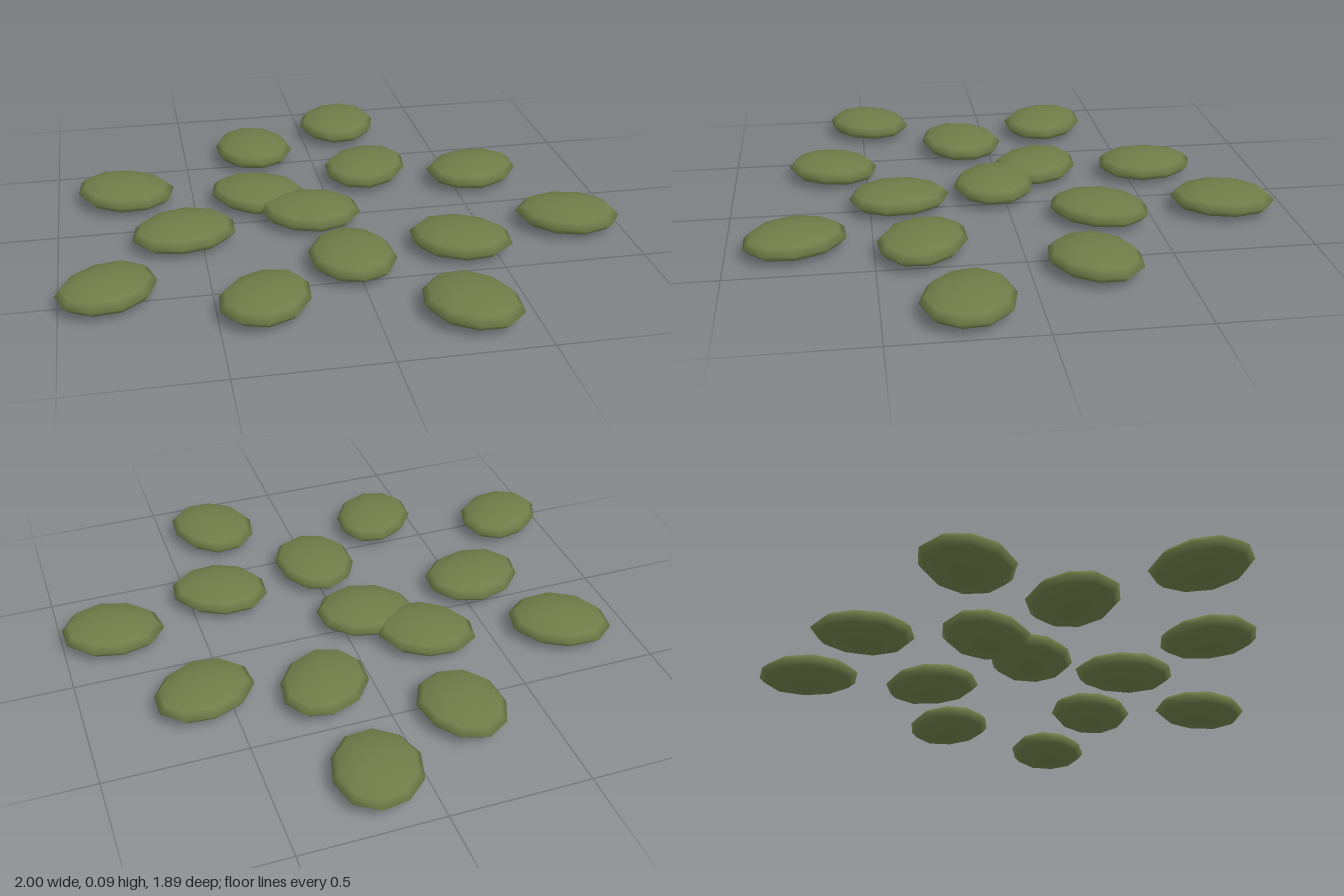
import * as THREE from 'three';
import { mergeVertices } from 'three/addons/utils/BufferGeometryUtils.js';

// x, z, long half-axis, direction of the long axis in degrees
const PEBBLES = [
  [0.155, -0.77, 0.188, 75],
  [-0.227, -0.57, 0.183, 97],
  [-0.75, -0.256, 0.187, -31],
  [-0.262, -0.147, 0.184, -35],
  [0.18, -0.31, 0.184, 54],
  [0.583, -0.214, 0.184, 24],
  [-0.094, 0.032, 0.183, -15],
  [-0.56, 0.112, 0.188, 15],
  [-0.014, 0.395, 0.183, 93],
  [0.382, 0.337, 0.183, -27],
  [0.816, 0.227, 0.186, -15],
  [0.3, 0.765, 0.185, 114],
  [-0.342, 0.627, 0.177, 55],
  [-0.838, 0.473, 0.178, 39],
];
const HALF_HEIGHT = 0.046;
const WIDTH_RATIO = 0.82;

// Flattened low sphere with a slightly uneven ten-sided outline
function pebbleGeometry(length, seed) {
  let geo = new THREE.SphereGeometry(1, 10, 6);
  geo.deleteAttribute('uv');
  geo.deleteAttribute('normal');
  geo = mergeVertices(geo, 1e-4);
  const pos = geo.attributes.position;
  for (let i = 0; i < pos.count; i++) {
    const x = pos.getX(i), z = pos.getZ(i);
    const wobble = 1 + 0.02 * Math.sin(3 * Math.atan2(z, x) + seed * 1.7);
    pos.setXYZ(i, x * length * wobble, pos.getY(i) * HALF_HEIGHT, z * length * WIDTH_RATIO * wobble);
  }
  geo.computeVertexNormals();
  return geo;
}

export function createModel() {
  const group = new THREE.Group();
  group.name = 'pebbles';
  const green = new THREE.MeshStandardMaterial({ color: 0x6f7c48 });
  green.name = 'mossGreen';

  PEBBLES.forEach(([x, z, length, degrees], i) => {
    const pebble = new THREE.Mesh(pebbleGeometry(length, i), green);
    pebble.name = `pebble${i + 1}`;
    pebble.position.set(x, HALF_HEIGHT + 0.002, z);
    pebble.rotation.y = THREE.MathUtils.degToRad(degrees);
    group.add(pebble);
  });
  return group;
}
